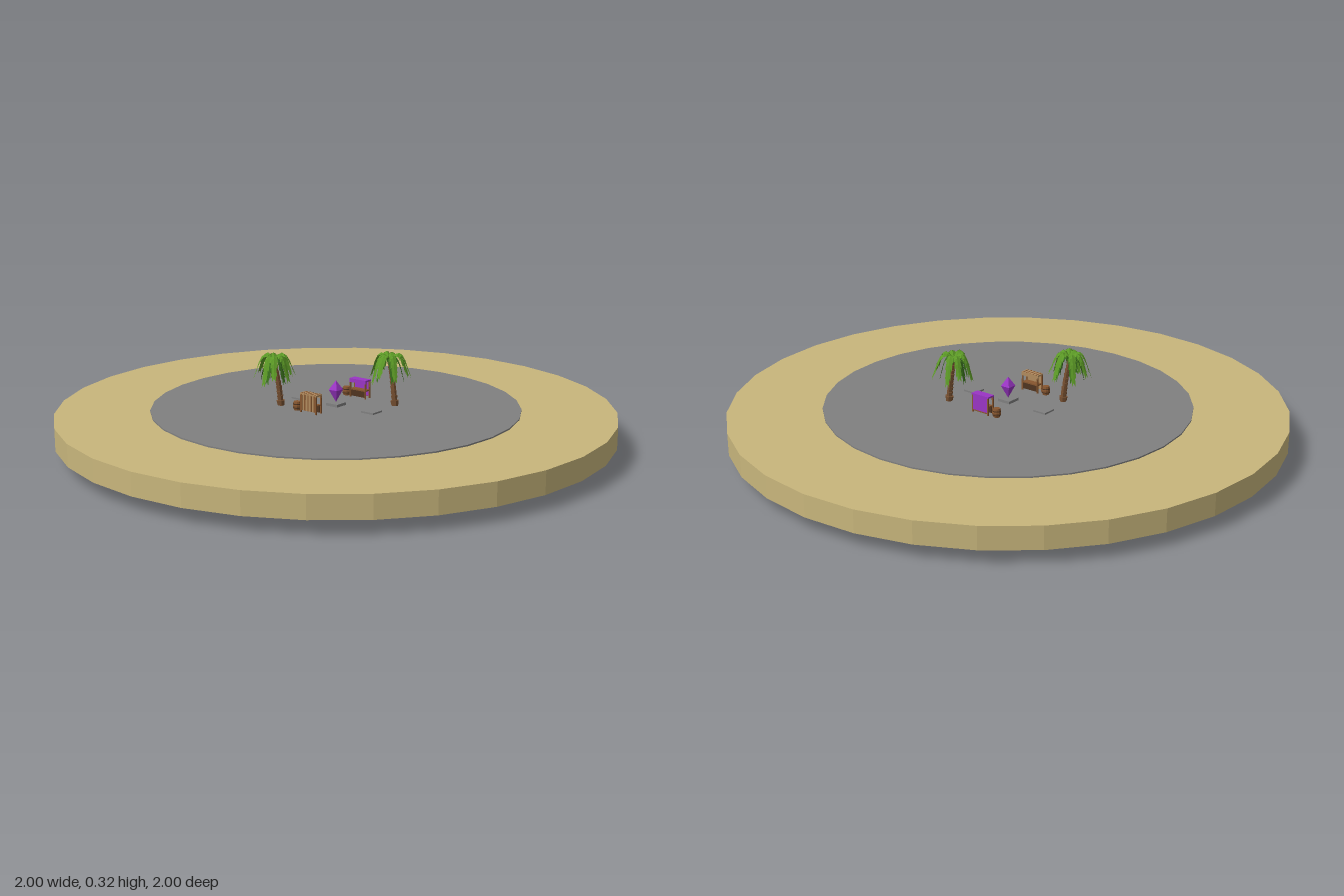
import * as THREE from 'three';

const material = (name, color, side = THREE.FrontSide) => {
  const m = new THREE.MeshStandardMaterial({ color, side, flatShading: true });
  m.name = name;
  return m;
};

export function createModel() {
  const sand = material('sand', 0xc8b67c);
  const stone = material('stone', 0x808080);
  const bark = material('bark', 0x7a5232);
  const wood = material('wood', 0x87562f);
  const plank = material('pale plank', 0xb08a5e);
  const darkWood = material('dark wood', 0x4f3420);
  const purple = material('purple', 0x9a35c4);
  const leaf = material('leaf green', 0x5c9a26, THREE.DoubleSide);
  const darkLeaf = material('dark leaf green', 0x386f1c, THREE.DoubleSide);

  const root = new THREE.Group();
  root.name = 'island';
  const GROUND = 0.135;

  const add = (parent, name, geometry, mat, x = 0, y = 0, z = 0) => {
    const mesh = new THREE.Mesh(geometry, mat);
    mesh.name = name;
    mesh.position.set(x, y, z);
    parent.add(mesh);
    return mesh;
  };
  const box = (parent, name, w, h, d, mat, x, y, z) =>
    add(parent, name, new THREE.BoxGeometry(w, h, d), mat, x, y, z);
  const group = (name, x, z) => {
    const g = new THREE.Group();
    g.name = name;
    g.position.set(x, GROUND, z);
    root.add(g);
    return g;
  };

  // Ground: a wide sand disc with a stone disc through its middle
  add(root, 'sandDisc', new THREE.CylinderGeometry(1, 1, 0.08, 32), sand, 0, 0.09, 0);
  add(root, 'stoneDisc', new THREE.CylinderGeometry(0.663, 0.663, GROUND, 32), stone, 0, GROUND / 2, 0);

  // Two low side slabs and the crystal on its pedestal
  for (const side of [-1, 1]) {
    box(root, 'slab', 0.052, 0.006, 0.052, stone, side * 0.161, GROUND + 0.003, 0);
  }
  const shrine = group('crystalShrine', 0, 0);
  box(shrine, 'pedestal', 0.052, 0.01, 0.052, stone, 0, 0.005, 0);
  const crystalProfile = [[0, 0.012], [0.026, 0.058], [0, 0.092]].map(p => new THREE.Vector2(...p));
  add(shrine, 'crystal', new THREE.LatheGeometry(crystalProfile, 4, Math.PI / 4), purple);

  // Market stall: open towards +z, with a panel behind and a flat canopy
  const W = 0.075, D = 0.032, H = 0.07;
  function stall(name, x, z, turn, cloth, stripe) {
    const g = group(name, x, z);
    g.rotation.y = turn;
    for (const sx of [-1, 1]) {
      for (const sz of [-1, 1]) {
        box(g, 'post', 0.005, H - 0.004, 0.005, wood, sx * (W / 2 - 0.003), H / 2 - 0.002, sz * (D / 2 - 0.003));
      }
    }
    box(g, 'backPanel', W - 0.006, H - 0.012, 0.004, cloth, 0, H / 2 + 0.002, -D / 2 + 0.003);
    box(g, 'canopy', W, 0.006, D, cloth, 0, H - 0.003, 0);
    box(g, 'valance', W, 0.01, 0.003, cloth, 0, H - 0.009, D / 2 - 0.0015);
    box(g, 'counter', W - 0.006, 0.005, D - 0.008, wood, 0, 0.03, 0.001);
    box(g, 'counterFront', W - 0.008, 0.024, 0.003, darkWood, 0, 0.016, D / 2 - 0.007);
    // Plank gaps, or a plain timber border
    if (stripe) {
      for (let i = -2; i <= 2; i++) {
        box(g, 'backStripe', 0.005, H - 0.012, 0.002, stripe, i * 0.0145, H / 2 + 0.002, -D / 2 + 0.0005);
        box(g, 'roofStripe', 0.004, 0.0015, D, stripe, i * 0.0145, H, 0);
      }
    } else {
      box(g, 'sill', W, 0.004, 0.004, wood, 0, 0.008, -D / 2 + 0.002);
    }
  }
  stall('purpleStall', -0.003, -0.145, 0, purple, null);
  stall('plankStall', -0.003, 0.137, Math.PI, plank, wood);

  // Barrels with dark hoops
  for (const z of [-0.145, 0.137]) {
    const g = group('barrel', -0.066, z);
    const profile = [[0, 0], [0.012, 0], [0.0155, 0.016], [0.0125, 0.032], [0, 0.032]];
    add(g, 'barrelBody', new THREE.LatheGeometry(profile.map(p => new THREE.Vector2(...p)), 10), wood);
    for (const y of [0.009, 0.023]) {
      add(g, 'hoop', new THREE.CylinderGeometry(0.0158, 0.0158, 0.003, 10), darkWood, 0, y, 0);
    }
  }

  // Frond: an arching spine with toothed leaflets folded down on both sides
  function frondGeometry(length, rise, droop, width) {
    const n = 7, pos = [];
    const spine = t => [length * (t - 0.12 * t * t), rise * Math.sin(Math.PI * Math.min(t * 1.1, 1)) - droop * t * t * t];
    for (let i = 0; i < n; i++) {
      const t0 = i / n, t1 = (i + 1) / n;
      const [x0, y0] = spine(t0), [x1, y1] = spine(t1);
      const [tx, ty] = spine(Math.min(t1 + 0.06, 1.05));
      const w0 = width * (0.25 + 0.35 * Math.sin(Math.PI * t0));
      const w1 = width * (0.3 + 0.7 * Math.sin(Math.PI * (0.15 + 0.8 * t1)));
      for (const s of [-1, 1]) {
        const a = [x0, y0, 0], b = [x1, y1, 0];
        const tip = [tx, ty - w1 * 0.5, s * w1], inner = [x0, y0 - w0 * 0.4, s * w0];
        if (s > 0) pos.push(...a, ...inner, ...tip, ...a, ...tip, ...b);
        else pos.push(...a, ...tip, ...inner, ...a, ...b, ...tip);
      }
    }
    const g = new THREE.BufferGeometry();
    g.setAttribute('position', new THREE.Float32BufferAttribute(pos, 3));
    g.computeVertexNormals();
    return g;
  }

  // Palm: a leaning trunk of flared rings under a crown of fronds
  function palm(name, x, z, leanX, leanZ, height, spin) {
    const g = group(name, x, z);
    const curve = new THREE.QuadraticBezierCurve3(
      new THREE.Vector3(0, 0, 0),
      new THREE.Vector3(leanX * 0.25, height * 0.5, leanZ * 0.25),
      new THREE.Vector3(leanX, height, leanZ));
    const rings = 9, up = new THREE.Vector3(0, 1, 0);
    for (let i = 0; i < rings; i++) {
      const a = curve.getPoint(i / rings), b = curve.getPoint((i + 1) / rings);
      const r = 0.0125 - 0.0045 * (i / rings) + (i === 0 ? 0.003 : 0);
      const dir = b.clone().sub(a);
      const ring = add(g, 'trunkRing', new THREE.CylinderGeometry(r, r * 0.8, dir.length() * 1.1, 7), bark);
      ring.position.copy(a).add(b).multiplyScalar(0.5);
      ring.quaternion.setFromUnitVectors(up, dir.normalize());
    }
    const crown = new THREE.Group();
    crown.name = 'crown';
    crown.position.set(leanX, height, leanZ);
    crown.rotation.y = spin;
    g.add(crown);
    add(crown, 'crownHeart', new THREE.IcosahedronGeometry(0.01, 0), darkLeaf);
    for (let i = 0; i < 8; i++) {
      const k = 1 + 0.1 * Math.sin(i * 2.3);
      const f = add(crown, 'frond', frondGeometry(0.083 * k, 0.034, 0.042 + 0.012 * (i % 3), 0.016), leaf);
      f.rotation.y = i * Math.PI / 4 + 0.12 * Math.sin(i * 4.1);
    }
    for (let i = 0; i < 5; i++) {
      const f = add(crown, 'lowerFrond', frondGeometry(0.058, 0.02, 0.062, 0.014), darkLeaf);
      f.rotation.y = i * Math.PI * 0.4 + 0.35;
    }
  }
  palm('rightBackPalm', 0.168, -0.13, -0.028, -0.002, 0.158, 0.2);
  palm('leftFrontPalm', -0.155, 0.122, -0.017, 0.014, 0.158, 0.75);

  return root;
}
